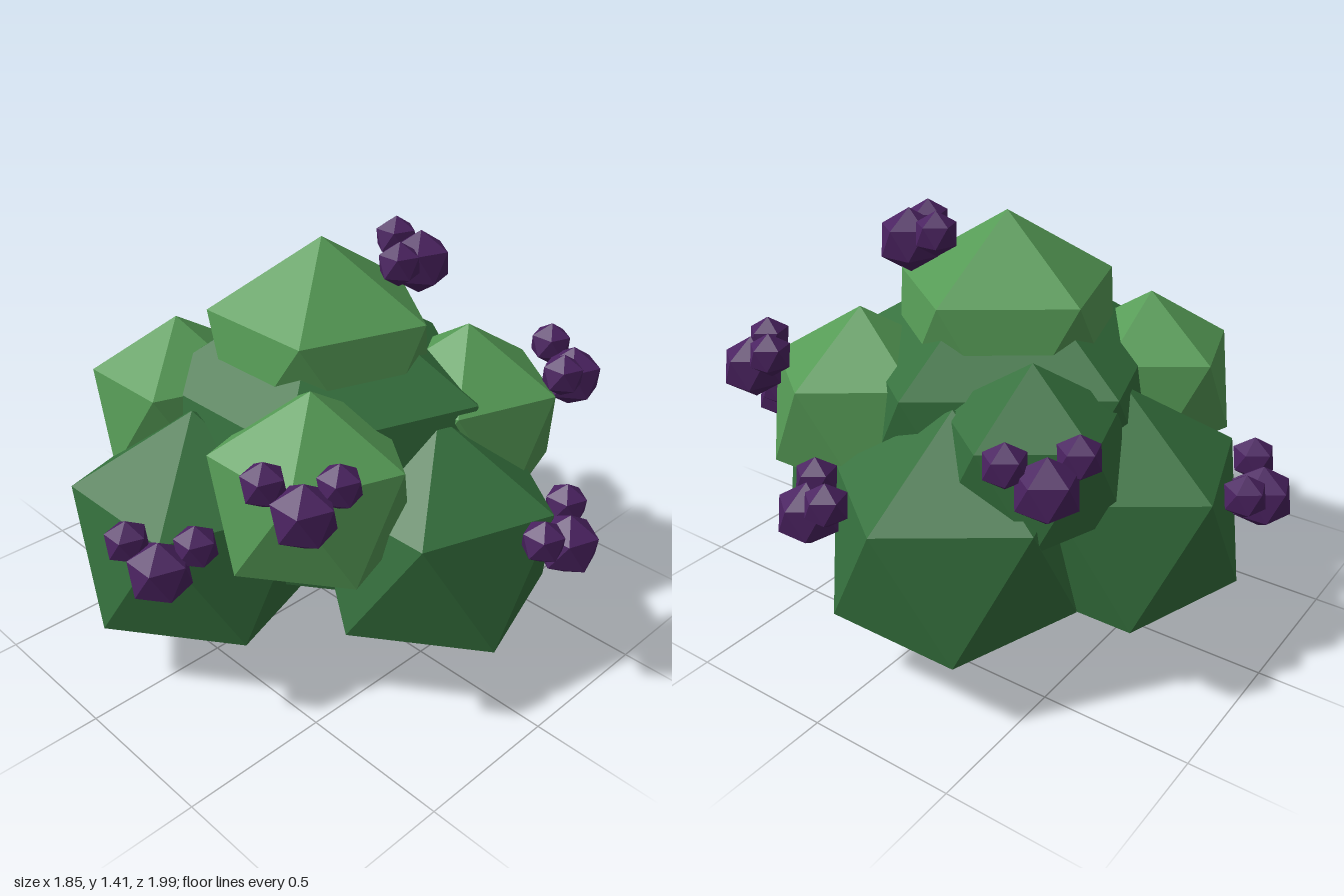
import * as THREE from 'three';

const lightLeaf = new THREE.MeshStandardMaterial({ color: 0x559a55 });
const darkLeaf = new THREE.MeshStandardMaterial({ color: 0x35703d });
const berryPurple = new THREE.MeshStandardMaterial({ color: 0x4a2260 });
lightLeaf.name = 'lightLeaf';
darkLeaf.name = 'darkLeaf';
berryPurple.name = 'berryPurple';

// Icosahedron standing on a corner, upper ring pointing to +x
const ico = new THREE.IcosahedronGeometry(1, 0);
ico.rotateZ(-Math.atan(2 / (1 + Math.sqrt(5))));

function ball(name, material, r, x, y, z) {
  const mesh = new THREE.Mesh(ico, material);
  mesh.name = name;
  mesh.scale.setScalar(r);
  mesh.position.set(x, y, z);
  return mesh;
}

export function createModel() {
  const bush = new THREE.Group();
  bush.name = 'berryBush';

  // Foliage clumps: name, material, radius, centre
  const clumps = [
    ['coreFoliage', darkLeaf, 0.63, 0, 0.63, 0],
    ['lowerFrontFoliage', darkLeaf, 0.447, 0.06, 0.447, 0.47],
    ['lowerBackFoliage', darkLeaf, 0.447, 0.03, 0.447, -0.475],
    ['lowerLeftFoliage', darkLeaf, 0.447, 0.48, 0.447, -0.14],
    ['lowerRightFoliage', darkLeaf, 0.447, -0.48, 0.447, -0.09],
    ['middleFrontLeftFoliage', lightLeaf, 0.352, 0.345, 0.73, 0.34],
    ['middleFrontRightFoliage', lightLeaf, 0.35, -0.345, 0.715, 0.315],
    ['middleBackLeftFoliage', darkLeaf, 0.325, 0.35, 0.725, -0.34],
    ['middleBackRightFoliage', lightLeaf, 0.322, -0.32, 0.765, -0.365],
    ['topFoliage', lightLeaf, 0.417, 0, 0.962, 0],
  ];
  for (const c of clumps) bush.add(ball(...c));

  // Berry clusters: one large berry followed by two small ones
  const clusters = {
    topBerries: [[0.225, 1.295, 0.22], [0.1, 1.325, 0.245], [0.245, 1.34, 0.095]],
    frontBerries: [[0.19, 0.565, 0.905], [0.07, 0.625, 0.895], [0.273, 0.64, 0.83]],
    leftBerries: [[0.83, 0.61, 0.14], [0.73, 0.665, 0.2], [0.858, 0.685, 0.035]],
    rightBerries: [[-0.835, 0.595, 0.19], [-0.865, 0.66, 0.075], [-0.733, 0.66, 0.235]],
    backBerries: [[-0.1, 0.58, -0.905], [-0.18, 0.66, -0.835], [0.022, 0.635, -0.9]],
    frontLeftBerries: [[0.597, 0.895, 0.59], [0.482, 0.95, 0.63], [0.622, 0.97, 0.478]],
    frontRightBerries: [[-0.6, 0.86, 0.56], [-0.645, 0.93, 0.445], [-0.493, 0.925, 0.59]],
    backLeftBerries: [[0.608, 0.815, -0.565], [0.505, 0.885, -0.603], [0.655, 0.88, -0.457]],
  };
  for (const [name, spots] of Object.entries(clusters)) {
    const group = new THREE.Group();
    group.name = name;
    spots.forEach((p, i) =>
      group.add(ball(i ? 'smallBerry' : 'largeBerry', berryPurple, i ? 0.073 : 0.105, ...p)));
    bush.add(group);
  }
  return bush;
}
